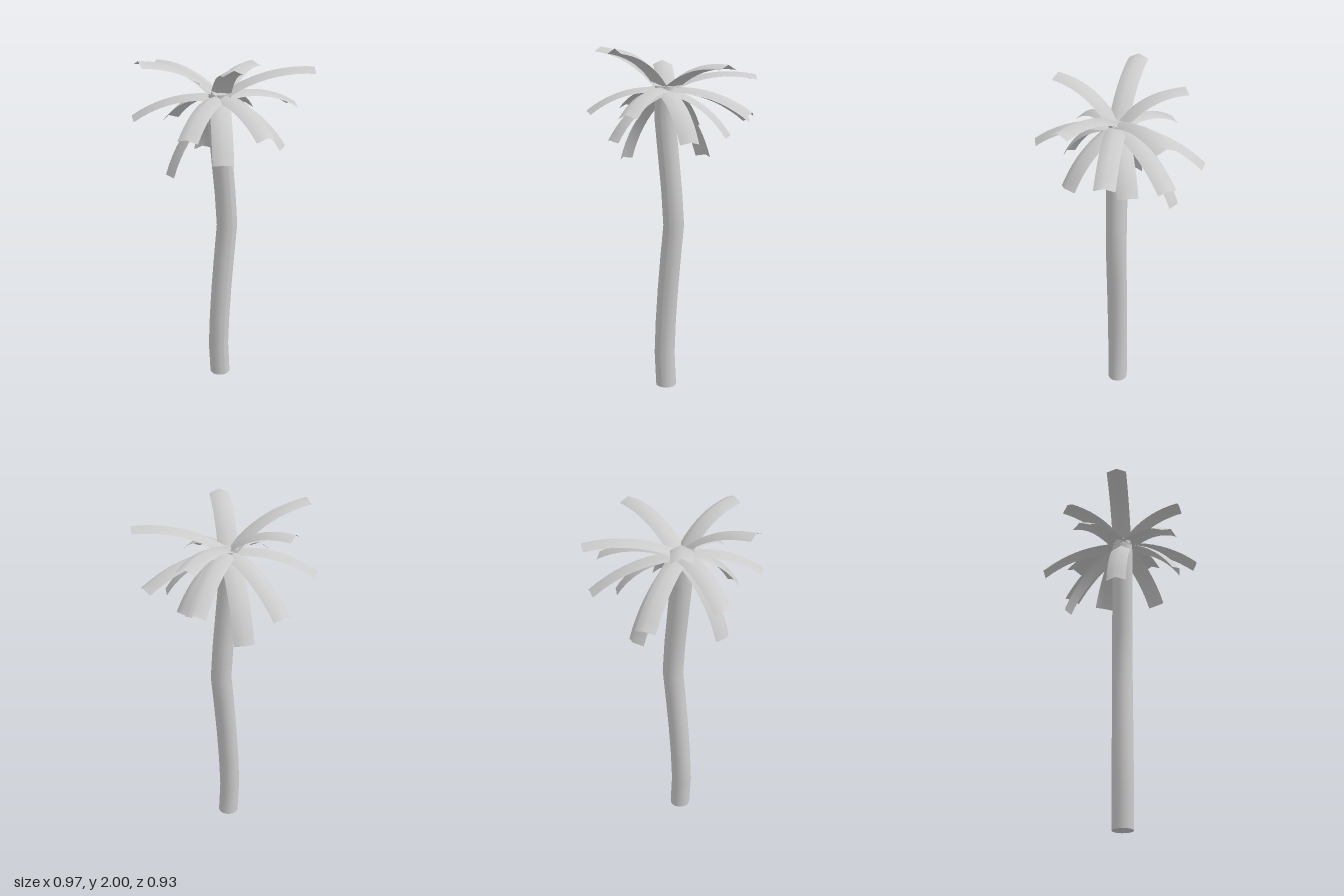
import * as THREE from 'three';

const CROWN = new THREE.Vector3(-0.03, 1.77, 0.01);
const trunkMaterial = new THREE.MeshStandardMaterial({ color: 0xcccccc });
const frondMaterial = new THREE.MeshStandardMaterial({ color: 0xcccccc, side: THREE.DoubleSide });

// Round trunk whose rings are shifted sideways to follow a gentle bend with a kink halfway
function createTrunk() {
  const offsets = [-0.03, -0.04, -0.032, -0.018, 0, 0.02, 0.007, -0.013, -0.033, -0.035];
  const height = 1.78;
  const rows = offsets.length - 1;
  const geometry = new THREE.CylinderGeometry(0.06, 0.06, height, 16, rows);
  geometry.translate(0, height / 2, 0.01);
  const p = geometry.attributes.position;
  for (let i = 0; i < p.count; i++) {
    const row = Math.round((p.getY(i) / height) * rows);
    p.setX(i, p.getX(i) + offsets[row]);
  }
  geometry.computeVertexNormals();
  const trunk = new THREE.Mesh(geometry, trunkMaterial);
  trunk.name = 'trunk';
  return trunk;
}

// Arched strip from the crown to a tip, with a raised centre ridge
function createFrond(tip) {
  const halfWidth = 0.056, fold = 0.027, arch = 0.095, steps = 10;
  const chord = tip.clone().sub(CROWN);
  const side = new THREE.Vector3(chord.z, 0, -chord.x).normalize();
  const lift = new THREE.Vector3().crossVectors(chord, side).normalize();
  const control = CROWN.clone().lerp(tip, 0.5).addScaledVector(lift, arch);
  const curve = new THREE.QuadraticBezierCurve3(CROWN, control, tip);

  const positions = [], indices = [];
  for (let i = 0; i <= steps; i++) {
    const point = curve.getPoint(i / steps);
    const up = new THREE.Vector3().crossVectors(curve.getTangent(i / steps), side).normalize();
    for (const s of [-1, 0, 1]) {
      const v = point.clone().addScaledVector(side, s * halfWidth);
      if (s !== 0) v.addScaledVector(up, -fold);
      positions.push(v.x, v.y, v.z);
    }
    if (i === steps) continue;
    for (let j = 0; j < 2; j++) {
      const a = i * 3 + j, b = a + 3;
      indices.push(a, b, a + 1, b, b + 1, a + 1);
    }
  }
  // Keep the upper face as the front
  for (let k = 0; k < indices.length; k += 3) {
    const [a, b, c] = [0, 1, 2].map((n) => new THREE.Vector3().fromArray(positions, indices[k + n] * 3));
    if (b.sub(a).cross(c.sub(a)).dot(lift) < 0) {
      [indices[k + 1], indices[k + 2]] = [indices[k + 2], indices[k + 1]];
    }
  }
  const geometry = new THREE.BufferGeometry();
  geometry.setAttribute('position', new THREE.Float32BufferAttribute(positions, 3));
  geometry.setIndex(indices);
  geometry.computeVertexNormals();
  return new THREE.Mesh(geometry, frondMaterial);
}

export function createModel() {
  const palm = new THREE.Group();
  palm.name = 'palmTree';
  palm.add(createTrunk());

  // Frond tips: rising, level and drooping
  const tips = [
    [-0.48, 1.995, -0.045], [-0.16, 1.985, 0.35], [-0.225, 1.915, -0.33],
    [0.435, 1.905, 0.23], [0.39, 1.84, -0.295],
    [0.485, 1.65, 0], [-0.03, 1.65, 0.465], [-0.39, 1.65, 0.27], [-0.43, 1.65, -0.25],
    [0.35, 1.59, -0.31], [-0.085, 1.54, -0.465],
    [0.24, 1.5, 0.25], [-0.21, 1.5, 0.335], [0.32, 1.51, -0.1],
    [-0.34, 1.355, -0.045], [0.065, 1.36, -0.335],
  ];
  const fronds = new THREE.Group();
  fronds.name = 'fronds';
  tips.forEach((tip, i) => {
    const frond = createFrond(new THREE.Vector3(...tip));
    frond.name = `frond${i + 1}`;
    fronds.add(frond);
  });
  palm.add(fronds);
  return palm;
}
